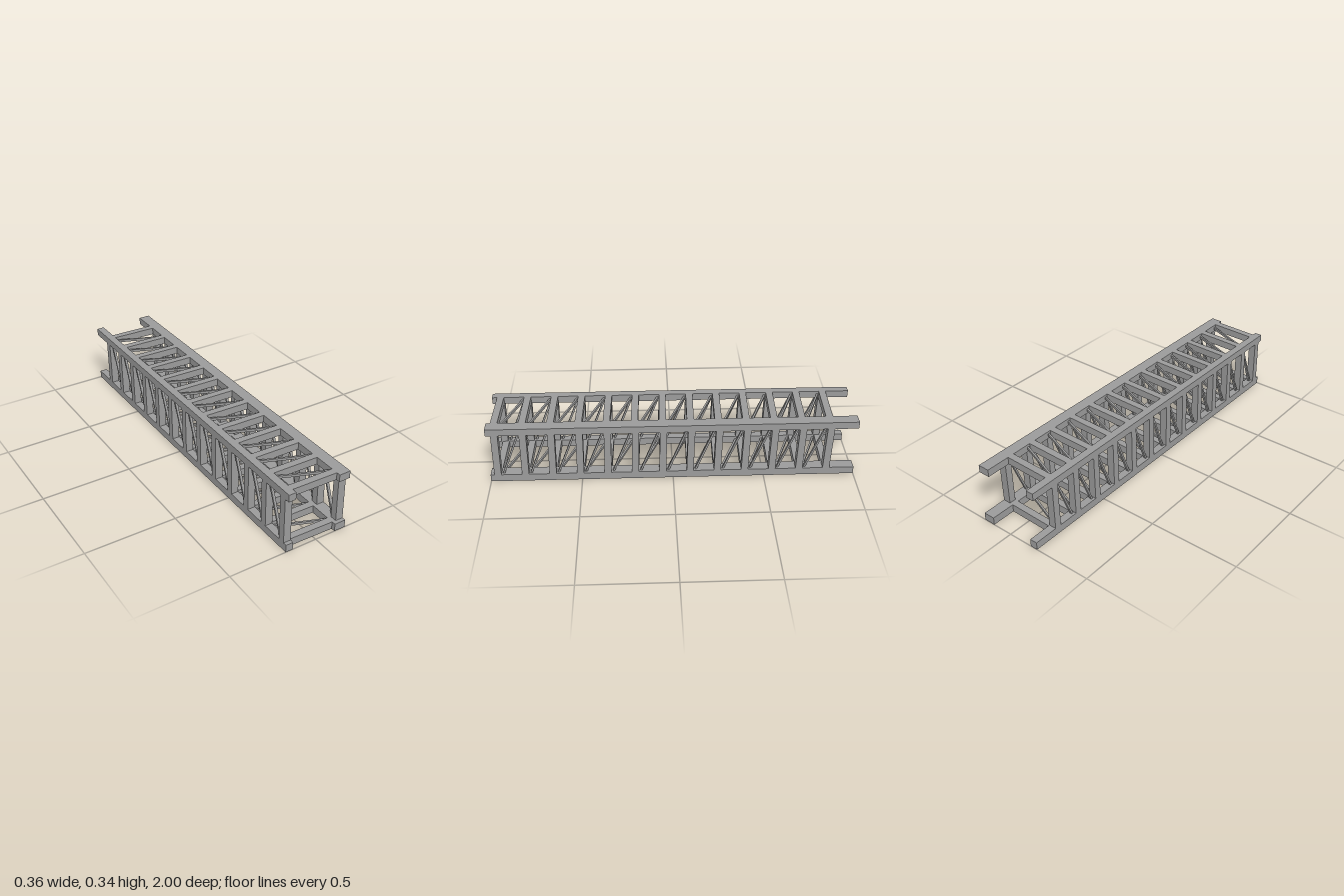
import * as THREE from 'three';

const material = new THREE.MeshStandardMaterial({ color: 0x9b9b9b, flatShading: true });

// Bounds of the square frame
const X0 = -0.181, X1 = 0.18, H = 0.341;
const LEFT_IN = -0.139, RIGHT_IN = 0.116, POST_IN = 0.137;
const LOW = 0.043, HIGH = 0.3;
const BAYS = 12, STEP = 0.1505, FIRST = 0.957;
const ROD = 0.014;

// Box between x and y limits, sheared so that z runs from za to zb along the given axis
function strut(name, xa, xb, ya, yb, za, zb, depth, axis = 'y') {
  const w = xb - xa, h = yb - ya;
  const geo = new THREE.BoxGeometry(w, h, depth);
  const pos = geo.attributes.position;
  const len = axis === 'x' ? w : h;
  for (let i = 0; i < pos.count; i++) {
    const t = axis === 'x' ? pos.getX(i) : pos.getY(i);
    pos.setZ(i, pos.getZ(i) + (t / len) * (zb - za));
  }
  geo.computeVertexNormals();
  const mesh = new THREE.Mesh(geo, material);
  mesh.name = name;
  mesh.position.set((xa + xb) / 2, (ya + yb) / 2, (za + zb) / 2);
  return mesh;
}

export function createModel() {
  const model = new THREE.Group();
  model.name = 'boxTruss';
  const sides = [['left', POST_IN, X1], ['right', X0, LEFT_IN]];
  const levels = [['lower', 0, LOW], ['upper', HIGH, H]];

  // Four long chords; the pair on +x is wider
  for (const [level, ya, yb] of levels) {
    model.add(strut(level + 'NarrowChord', X0, LEFT_IN, ya, yb, 0, 0, 2));
    model.add(strut(level + 'WideChord', RIGHT_IN, X1, ya, yb, 0, 0, 2));
  }

  for (let i = 0; i <= BAYS; i++) {
    const z = FIRST - i * STEP;
    const near = z - 0.029, far = z - STEP + 0.022;

    // Posts and thin diagonals of the two upright sides
    for (const [side, xa, xb] of sides) {
      model.add(strut(side + 'Post', xa, xb, LOW, HIGH, z + 0.003, z - 0.003, 0.038));
      if (i < BAYS) {
        const mid = (xa + xb) / 2;
        model.add(strut(side + 'Diagonal', mid - ROD / 2, mid + ROD / 2, LOW, HIGH, near, far, 0.011));
      }
    }

    // Cross bars and thin diagonals of the top and bottom
    for (const [level, ya, yb] of levels) {
      model.add(strut(level + 'CrossBar', LEFT_IN, RIGHT_IN, ya, yb, z - 0.004, z + 0.002, 0.038, 'x'));
      if (i < BAYS) {
        const mid = (ya + yb) / 2;
        model.add(strut(level + 'Diagonal', LEFT_IN, RIGHT_IN, mid - ROD / 2, mid + ROD / 2, far, near, 0.011, 'x'));
      }
    }
  }
  return model;
}
